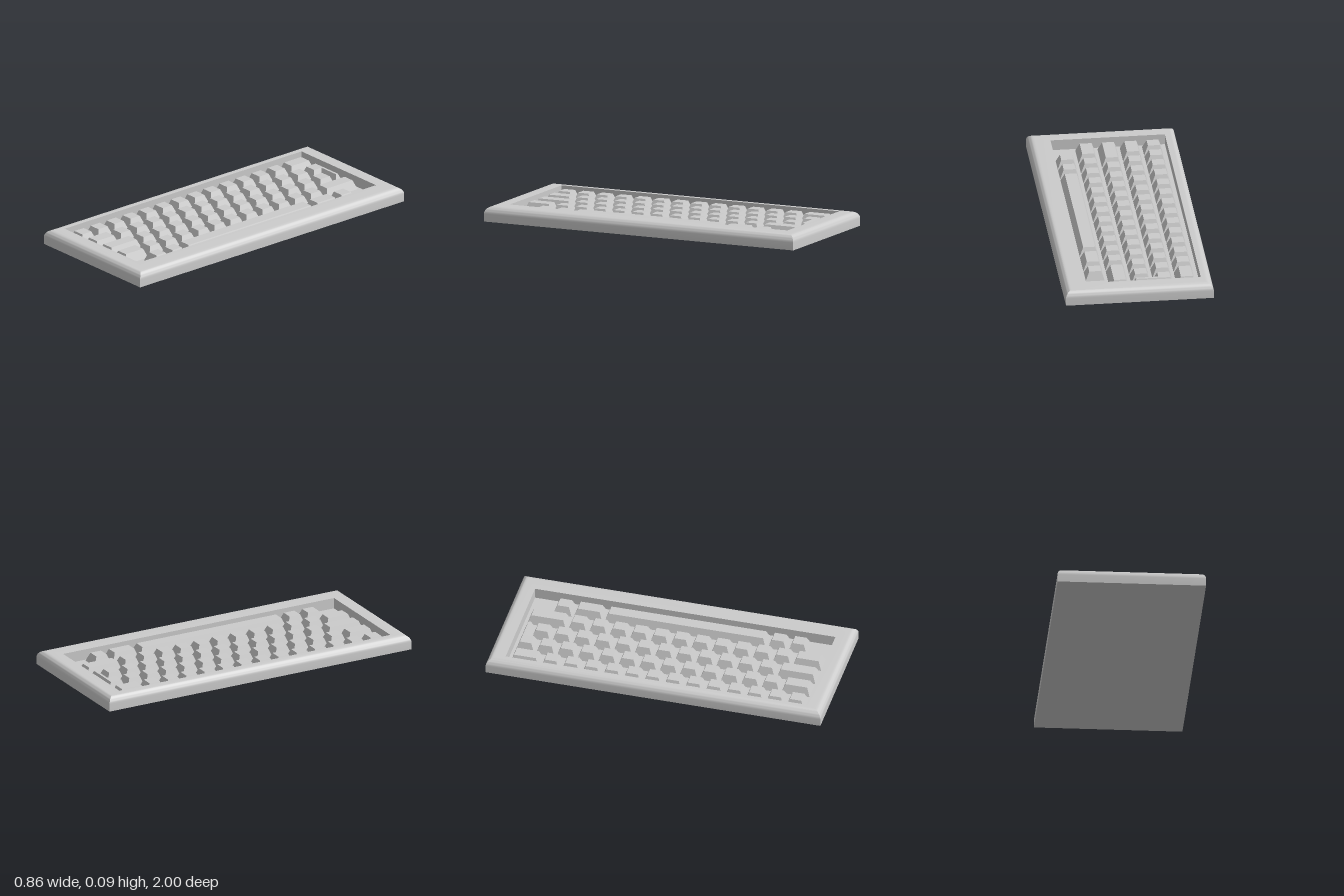
import * as THREE from 'three';
import { toCreasedNormals } from 'three/addons/utils/BufferGeometryUtils.js';

const material = new THREE.MeshStandardMaterial({ color: 0xcccccc });

// Rectangle outline as [x, z] corners
const rect = (x0, z0, x1, z1) => [[x0, z0], [x1, z0], [x1, z1], [x0, z1]];

// Skin a stack of outlines { y, pts }; the last is capped upward, the first downward if asked
function loft(rings, capBottom) {
  const pos = [];
  const put = (ring, i) => pos.push(ring.pts[i][0], ring.y, ring.pts[i][1]);
  for (let k = 0; k < rings.length - 1; k++) {
    const a = rings[k], b = rings[k + 1], n = a.pts.length;
    for (let i = 0; i < n; i++) {
      const j = (i + 1) % n;
      put(a, i); put(b, i); put(b, j);
      put(a, i); put(b, j); put(a, j);
    }
  }
  const cap = (ring, up) => {
    const v = ring.pts.map(([x, z]) => new THREE.Vector2(x, z));
    for (const [p, q, r] of THREE.ShapeUtils.triangulateShape(v, [])) {
      const ny = (v[q].y - v[p].y) * (v[r].x - v[p].x) - (v[q].x - v[p].x) * (v[r].y - v[p].y);
      const order = (ny > 0) === up ? [p, q, r] : [p, r, q];
      order.forEach((i) => put(ring, i));
    }
  };
  cap(rings[rings.length - 1], true);
  if (capBottom) cap(rings[0], false);
  const g = new THREE.BufferGeometry();
  g.setAttribute('position', new THREE.Float32BufferAttribute(pos, 3));
  return toCreasedNormals(g, 0.5);
}

function part(name, geometry) {
  const mesh = new THREE.Mesh(geometry, material);
  mesh.name = name;
  return mesh;
}

const HX = 0.43, HZ = 1, H = 0.087, R = 0.042, FLOOR = 0.023, KEY_TOP = 0.076;
const U = 0.122, GAP = 0.013, KEY_W = 0.111, ROW = 0.1295, X0 = -0.341, Z0 = -0.878;
const IN_L = 0.018, IN_R = 0.024, IN_Z = 0.02; // slope of the key sides

// Case: rounded top edges with mitred corners, and a sunken key tray
function makeCase() {
  const rings = [{ y: 0, pts: rect(-HX, -HZ, HX, HZ) }];
  for (let i = 0; i <= 8; i++) {
    const a = (i / 8) * Math.PI / 2;
    const d = R * (1 - Math.cos(a));
    rings.push({ y: H - R + R * Math.sin(a), pts: rect(-HX + d, -HZ + d, HX - d, HZ - d) });
  }
  const tray = rect(-0.365, -0.897, 0.3, 0.897);
  rings.push({ y: H, pts: tray }, { y: FLOOR, pts: tray });
  return part('case', loft(rings, true));
}

// Tapered key, start and length in key units along z
function makeKey(name, row, start, length) {
  const x = X0 + row * ROW, z = Z0 + start * U;
  const x1 = x + KEY_W, z1 = z + length * U - GAP;
  return part(name, loft([
    { y: FLOOR, pts: rect(x, z, x1, z1) },
    { y: KEY_TOP, pts: rect(x + IN_L, z + IN_Z, x1 - IN_R, z1 - IN_Z) },
  ]));
}

// L-shaped key spanning two rows
function makeCornerKey() {
  const outline = (l, r, d) => {
    const x0 = X0 + ROW + l, xm = X0 + ROW + KEY_W - r, x1 = X0 + 2 * ROW + KEY_W - r;
    const z0 = Z0 + d, zm = Z0 + U / 2 - GAP / 2 - d, z1 = Z0 + U - GAP - d;
    return [[x0, z0], [x1, z0], [x1, zm], [xm, zm], [xm, z1], [x0, z1]];
  };
  return part('cornerKey', loft([
    { y: FLOOR, pts: outline(0, 0, 0) },
    { y: KEY_TOP, pts: outline(IN_L, IN_R, IN_Z) },
  ]));
}

export function createModel() {
  const model = new THREE.Group();
  model.name = 'keyboard';
  model.add(makeCase());

  // Each row: first offset in units, then key lengths
  const ones = (n) => Array(n).fill(1);
  const rows = [
    { start: 0, keys: [1.5, ...ones(13)] },
    { start: 1, keys: [...ones(12), 1.5] },
    { start: 0.5, keys: [...ones(12), 2] },
    { start: 0, keys: [2, ...ones(11), 1.5] },
    { start: 1, keys: [1, 1.5, 8, 1, 1] },
  ];
  rows.forEach(({ start, keys }, r) => {
    const group = new THREE.Group();
    group.name = `keyRow${r + 1}`;
    let at = start;
    for (const length of keys) {
      group.add(makeKey(length === 8 ? 'spaceBar' : length > 1 ? 'wideKey' : 'key', r, at, length));
      at += length;
    }
    model.add(group);
  });
  model.add(makeCornerKey());
  return model;
}
